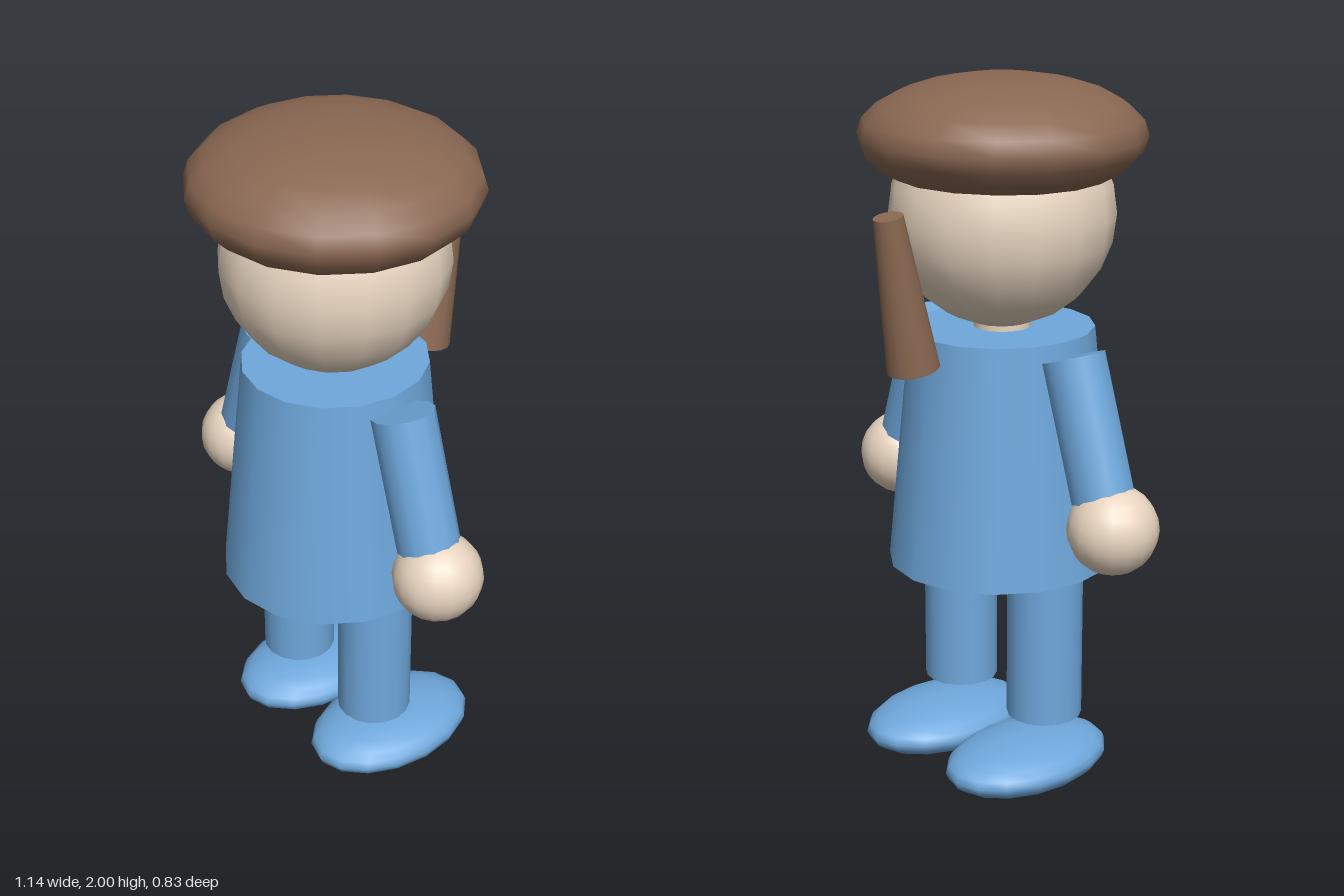
import * as THREE from 'three';

const blue = new THREE.MeshStandardMaterial({ color: 0x6fa8dc });
const skin = new THREE.MeshStandardMaterial({ color: 0xe8d5c0 });
const brown = new THREE.MeshStandardMaterial({ color: 0x8a6852 });
const Z = 0.02; // depth of the body axis

export function createModel() {
  const model = new THREE.Group();
  model.name = 'figure';

  function add(name, geometry, material) {
    const mesh = new THREE.Mesh(geometry, material);
    mesh.name = name;
    model.add(mesh);
    return mesh;
  }

  // Ellipsoid from its centre and half sizes
  function ellipsoid(name, material, centre, radii) {
    const mesh = add(name, new THREE.SphereGeometry(1, 16, 12), material);
    mesh.position.set(...centre);
    mesh.scale.set(...radii);
    return mesh;
  }

  // Straight or tapered limb between two points
  function limb(name, material, top, bottom, rTop, rBottom, sides = 16) {
    const a = new THREE.Vector3(...top);
    const b = new THREE.Vector3(...bottom);
    const axis = a.clone().sub(b);
    const mesh = add(name, new THREE.CylinderGeometry(rTop, rBottom, axis.length(), sides), material);
    mesh.position.copy(a).add(b).multiplyScalar(0.5);
    mesh.quaternion.setFromUnitVectors(new THREE.Vector3(0, 1, 0), axis.normalize());
    return mesh;
  }

  // Head, hat, neck and hair
  ellipsoid('head', skin, [0, 1.622, Z], [0.308, 0.31, 0.316]);
  ellipsoid('hat', brown, [0, 1.835, Z], [0.395, 0.165, 0.395]);
  limb('neck', skin, [0, 1.38, Z], [0, 1.27, Z], 0.08, 0.08);
  limb('ponytail', brown, [0, 1.664, -0.377], [0, 1.241, -0.299], 0.041, 0.073);

  // Flared tunic, slightly deeper than wide
  limb('tunic', blue, [0, 1.307, Z], [0, 0.632, Z], 0.262, 0.328).scale.x = 0.967;

  // Mirrored limbs
  for (const [side, s] of [['left', 1], ['right', -1]]) {
    limb(side + 'Arm', blue, [s * 0.287, 1.274, Z], [s * 0.407, 0.905, Z], 0.088, 0.088, 12);
    ellipsoid(side + 'Hand', skin, [s * 0.446, 0.827, Z], [0.124, 0.124, 0.127]);
    limb(side + 'Leg', blue, [s * 0.181, 0.65, Z], [s * 0.181, 0.2, Z], 0.107, 0.107);
    ellipsoid(side + 'Shoe', blue, [s * 0.179, 0.0765, -0.045], [0.178, 0.0765, 0.266]);
  }
  return model;
}
